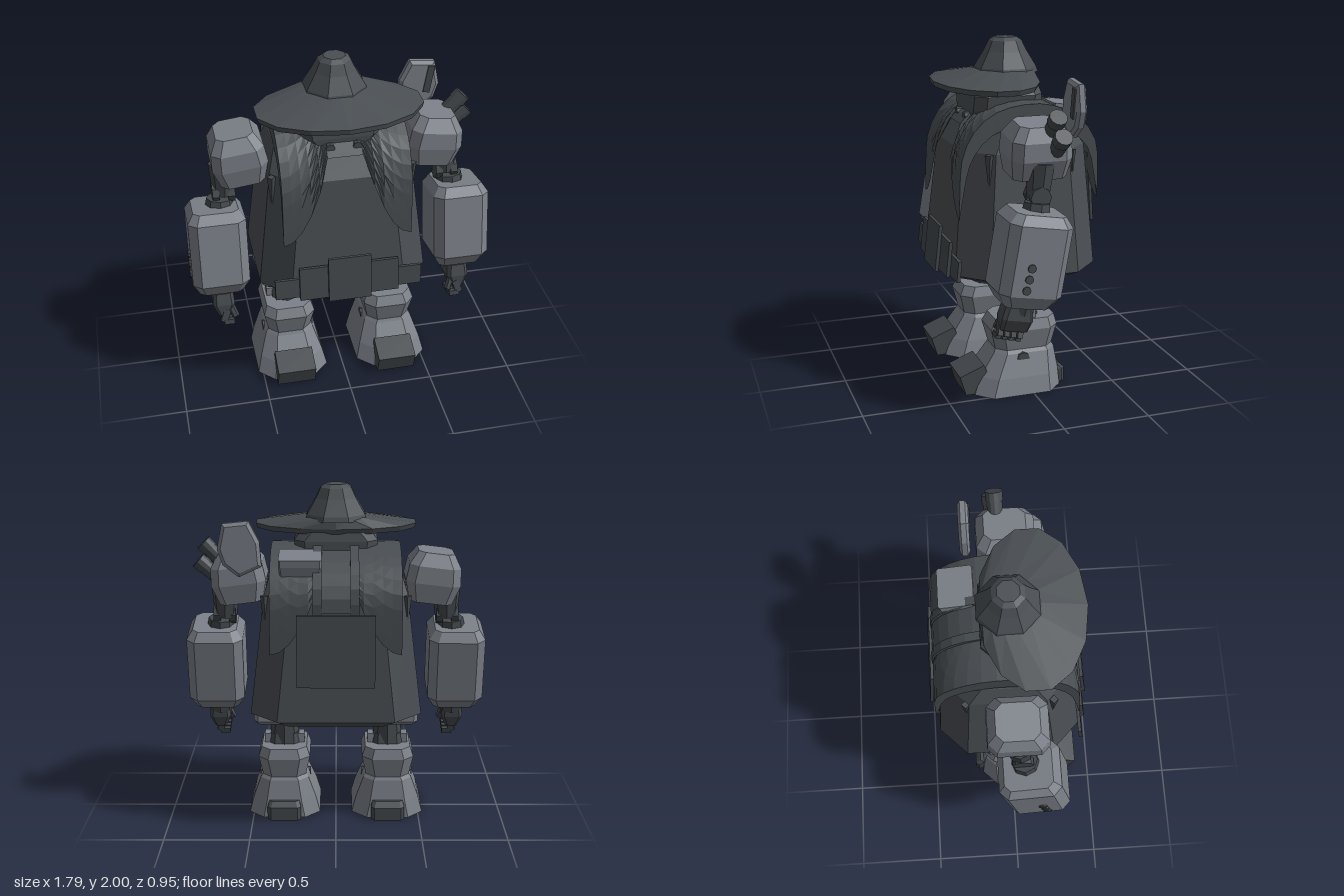
import * as THREE from 'three';

const mat = (name, color, side = THREE.FrontSide) => {
  const m = new THREE.MeshStandardMaterial({ color, flatShading: true, side });
  m.name = name;
  return m;
};

export function createModel() {
  const armour = mat('lightArmour', 0x7c8189);
  const cloth = mat('darkCloth', 0x4a4f53, THREE.DoubleSide);
  const metal = mat('darkMetal', 0x44494d);
  const root = new THREE.Group();

  const add = (name, geo, material, pos = [0, 0, 0], rot = [0, 0, 0], parent = root) => {
    const m = new THREE.Mesh(geo, material);
    m.name = name;
    m.position.set(...pos);
    m.rotation.set(...rot);
    parent.add(m);
    return m;
  };

  // Skin a stack of rings (bottom to top) and cap both ends
  const loft = (rings) => {
    const v = [], n = rings[0].length;
    for (let k = 0; k < rings.length - 1; k++)
      for (let i = 0; i < n; i++) {
        const j = (i + 1) % n, a = rings[k], b = rings[k + 1];
        v.push(...a[i], ...b[i], ...a[j], ...a[j], ...b[i], ...b[j]);
      }
    const lo = rings[0], hi = rings[rings.length - 1];
    for (let i = 1; i < n - 1; i++) v.push(...lo[0], ...lo[i], ...lo[i + 1], ...hi[0], ...hi[i + 1], ...hi[i]);
    const g = new THREE.BufferGeometry();
    g.setAttribute('position', new THREE.Float32BufferAttribute(v, 3));
    g.computeVertexNormals();
    return g;
  };
  // Box outline with cut corners: height, half width, front z, back z, corner cut
  const oct = ([y, hx, zf, zb, c]) => [
    [hx, y, zb + c], [hx, y, zf - c], [hx - c, y, zf], [c - hx, y, zf],
    [-hx, y, zf - c], [-hx, y, zb + c], [c - hx, y, zb], [hx - c, y, zb]];
  const octLoft = (rows) => loft(rows.map(oct));
  const chamferBox = (w, h, d, c) => octLoft([
    [-h / 2, w / 2 - c, d / 2 - c, c - d / 2, c * 0.6], [c - h / 2, w / 2, d / 2, -d / 2, c],
    [h / 2 - c, w / 2, d / 2, -d / 2, c], [h / 2, w / 2 - c, d / 2 - c, c - d / 2, c * 0.6]]);
  const ellipse = (n) => ([y, rx, rz, cz]) => Array.from({ length: n }, (_, i) => {
    const a = ((i + 0.5) / n) * Math.PI * 2;
    return [rx * Math.cos(a), y, cz + rz * Math.sin(a)];
  });
  const rod = (name, a, b, r0, r1, material, sides = 8, parent = root) => {
    const p = new THREE.Vector3(...a), d = new THREE.Vector3(...b).sub(p);
    const m = add(name, new THREE.CylinderGeometry(r1, r0, d.length(), sides), material, [0, 0, 0], [0, 0, 0], parent);
    m.position.copy(p).addScaledVector(d, 0.5);
    m.quaternion.setFromUnitVectors(new THREE.Vector3(0, 1, 0), d.normalize());
  };

  // Wide hat
  add('hatBrim', loft([[1.73, 0.47, 0.29, 0.135], [1.76, 0.48, 0.3, 0.13], [1.82, 0.17, 0.17, 0.01]].map(ellipse(14))), cloth);
  add('hatCrown', loft([[1.8, 0.19, 0.19, 0], [1.83, 0.18, 0.18, 0], [1.92, 0.125, 0.125, 0],
    [1.98, 0.095, 0.095, 0], [2, 0.065, 0.065, 0]].map(ellipse(8))), cloth);

  // Head and eyes
  add('head', octLoft([[1.53, 0.16, 0.24, -0.16, 0.05], [1.61, 0.23, 0.245, -0.16, 0.06],
    [1.69, 0.24, 0.24, -0.16, 0.06], [1.74, 0.2, 0.22, -0.15, 0.06]]), cloth);
  for (const s of [-1, 1])
    add('eye', new THREE.CylinderGeometry(0.026, 0.026, 0.08, 8), metal, [s * 0.077, 1.565, 0.235], [Math.PI / 2, 0, 0]);

  // Robed body
  add('body', octLoft([[0.66, 0.41, 0.36, -0.39, 0.14], [0.7, 0.495, 0.41, -0.435, 0.16],
    [1.4, 0.41, 0.34, -0.39, 0.15], [1.53, 0.37, 0.24, -0.29, 0.12], [1.6, 0.3, 0.14, -0.18, 0.08]]), cloth);
  // Narrow vents on the cut corners of the robe
  for (const s of [-1, 1])
    for (const z of [-0.26, 0.23])
      add('sideVent', new THREE.ConeGeometry(0.025, 0.22, 4), metal, [s * 0.405, 1.29, z], [Math.PI, 0, 0]);

  // Cape draped from front tips over the shoulders to back tips
  const profile = new THREE.CatmullRomCurve3([[0.392, 1.03], [0.387, 1.22], [0.372, 1.38], [0.3, 1.53],
    [0.19, 1.62], [0.05, 1.66], [-0.12, 1.66], [-0.26, 1.61], [-0.37, 1.52], [-0.425, 1.42],
    [-0.435, 1.28], [-0.435, 1.1]].map(([z, y]) => new THREE.Vector3(0, y, z)));
  const drape = (rows, n = 16) => {
    const v = [], idx = [];
    rows.forEach(([x, t0, t1, inset], r) => {
      for (let i = 0; i <= n; i++) {
        const p = profile.getPointAt(t0 + ((t1 - t0) * i) / n);
        const k = 1 - inset * Math.sin((Math.PI * i) / n);
        v.push(x, 1.1 + (p.y - 1.1) * k, p.z * k);
        const a = r * (n + 1) + i;
        if (r < rows.length - 1 && i < n) idx.push(a, a + 1, a + n + 1, a + 1, a + n + 2, a + n + 1);
      }
    });
    const g = new THREE.BufferGeometry();
    g.setAttribute('position', new THREE.Float32BufferAttribute(v, 3));
    g.setIndex(idx);
    const flat = g.toNonIndexed();
    flat.computeVertexNormals();
    return flat;
  };
  for (const s of [-1, 1]) {
    const rows = [0, 0.2, 0.4, 0.6, 0.8, 1].map((u) => [
      s * (0.1 + 0.27 * u), 0.3 * (1 - u) ** 2, 1 - 0.22 * (1 - u) ** 2, 0]);
    rows.push([s * 0.37, 0, 1, 0.2]);
    add('cape', drape(rows, 20), cloth);
    add('backStrap', drape([[s * 0.08, 0.5, 0.88, 0], [s * 0.08, 0.5, 0.88, -0.04],
      [s * 0.13, 0.5, 0.88, -0.04], [s * 0.13, 0.5, 0.88, 0]], 8), cloth);
  }
  add('capeBack', drape([[-0.1, 0.48, 0.86, 0.02], [0.1, 0.48, 0.86, 0.02]], 8), cloth);
  add('capeCollar', drape([[-0.1, 0.3, 0.5, 0], [0.1, 0.3, 0.5, 0]], 6), cloth);

  // Hanging plates on the front and back
  for (const [w, y0, y1, z] of [[0.86, 0.69, 0.81, 0.413], [0.58, 0.68, 0.885, 0.43], [0.25, 0.665, 0.94, 0.447]])
    add('beltPlate', new THREE.BoxGeometry(w, y1 - y0, 0.02), metal, [0, (y0 + y1) / 2, z], [-0.11, 0, 0]);
  add('backPlate', new THREE.BoxGeometry(0.44, 0.41, 0.018), metal, [0, 1.125, -0.455], [0.07, 0, 0]);
  add('backBox', octLoft([[-0.1, 0.1, 0.1, -0.08, 0.01], [0.04, 0.12, 0.1, -0.1, 0.01], [0.08, 0.12, 0.1, -0.1, 0.01]]),
    armour, [0.2, 1.56, -0.27], [-0.15, 0, 0]);

  // Shoulder fin with its dark slot
  const fin = new THREE.Shape([[0.42, 1.56], [0.55, 1.5], [0.64, 1.57], [0.67, 1.66], [0.64, 1.805],
    [0.49, 1.82], [0.43, 1.7]].map(([x, y]) => new THREE.Vector2(x, y)));
  add('shoulderFin', new THREE.ExtrudeGeometry(fin, { depth: 0.03, bevelEnabled: true, bevelThickness: 0.015,
    bevelSize: 0.02, bevelOffset: -0.02, bevelSegments: 1 }), armour, [0, 0, -0.23]);
  add('finSlot', new THREE.BoxGeometry(0.04, 0.17, 0.009), metal, [0.605, 1.7, -0.182], [0, 0, -0.17]);

  // Twin shoulder guns
  for (const [a, b] of [[[0.62, 1.51, -0.03], [0.765, 1.66, -0.036]], [[0.64, 1.42, -0.05], [0.795, 1.56, -0.056]]]) {
    rod('gunBarrel', a, b, 0.045, 0.045, metal, 12);
    const at = (k) => a.map((v, i) => v + (b[i] - v) * k);
    rod('gunMuzzle', at(0.75), at(1.02), 0.05, 0.05, metal, 12);
  }

  for (const s of [-1, 1]) {
    // Arm
    const arm = new THREE.Group();
    arm.name = s > 0 ? 'leftArm' : 'rightArm';
    root.add(arm);
    add('shoulder', octLoft([[-0.145, 0.125, 0.155, -0.15, 0.04], [-0.03, 0.16, 0.175, -0.17, 0.05],
      [0.07, 0.15, 0.17, -0.165, 0.05], [0.145, 0.105, 0.12, -0.12, 0.04]]), armour,
      [s * 0.567, 1.465, 0.015], [0, 0, -s * 0.12], arm);
    rod('upperArm', [s * 0.655, 1.21, 0.035], [s * 0.65, 1.4, 0.02], 0.065, 0.085, metal, 8, arm);
    for (const o of [-0.045, 0.045])
      add('elbowJoint', new THREE.CylinderGeometry(0.06, 0.06, 0.04, 8), metal, [s * 0.66 + o, 1.22, 0.04], [0, 0, Math.PI / 2], arm);
    rod('elbowCollar', [s * 0.69, 1.12, 0.06], [s * 0.685, 1.19, 0.05], 0.085, 0.075, metal, 8, arm);
    add('forearm', octLoft([[-0.26, 0.125, 0.125, -0.125, 0.03], [-0.185, 0.166, 0.18, -0.18, 0.05],
      [0.2, 0.166, 0.18, -0.18, 0.05], [0.255, 0.13, 0.14, -0.14, 0.035]]), armour, [s * 0.72, 0.905, 0.11], [-0.17, 0, 0], arm);
    for (const [y, z] of [[0.89, 0.15], [0.83, 0.165], [0.77, 0.18]])
      add('armStud', new THREE.CylinderGeometry(0.024, 0.024, 0.03, 8), metal, [s * 0.88, y, z], [0, 0, Math.PI / 2], arm);
    // Hand
    rod('wrist', [s * 0.71, 0.59, 0.155], [s * 0.715, 0.69, 0.135], 0.075, 0.085, metal, 8, arm);
    add('palm', octLoft([[-0.07, 0.035, 0.08, -0.08, 0.015], [0, 0.065, 0.09, -0.09, 0.02], [0.07, 0.06, 0.08, -0.08, 0.02]]),
      metal, [s * 0.715, 0.56, 0.185], [-0.2, 0, 0], arm);
    for (let i = 0; i < 4; i++) {
      const z = 0.27 - i * 0.038, y = 0.485 - 0.01 * i;
      add('finger', new THREE.BoxGeometry(0.04, 0.08, 0.03), metal, [s * 0.71, y + 0.02, z], [-0.2, 0, s * 0.35], arm);
      add('fingertip', new THREE.BoxGeometry(0.06, 0.03, 0.03), metal, [s * 0.69, y - 0.02, z + 0.01], [-0.2, 0, 0], arm);
    }
    rod('thumb', [s * 0.68, 0.57, 0.24], [s * 0.65, 0.49, 0.27], 0.022, 0.022, metal, 6, arm);

    // Leg
    const leg = new THREE.Group();
    leg.name = s > 0 ? 'leftLeg' : 'rightLeg';
    leg.position.x = s * 0.312;
    root.add(leg);
    add('hipBlock', chamferBox(0.35, 0.16, 0.13, 0.025), armour, [0, 0.66, -0.1], [0, 0, 0], leg);
    add('frontHipBlock', chamferBox(0.32, 0.12, 0.12, 0.025), armour, [0, 0.65, 0.13], [0, 0, 0], leg);
    rod('thigh', [0, 0.4, 0.02], [0, 0.7, -0.02], 0.1, 0.055, metal, 8, leg);
    add('knee', octLoft([[0.4, 0.09, 0.1, -0.08, 0.03], [0.49, 0.085, 0.06, -0.06, 0.03]]), metal, [0, 0, 0], [0, 0, 0], leg);
    for (const o of [-1, 1])
      add('anklePad', new THREE.BoxGeometry(0.04, 0.09, 0.08), armour, [o * 0.1, 0.44, 0], [0, 0, 0], leg);
    add('boot', octLoft([[0, 0.215, 0.33, -0.19, 0.09], [0.1, 0.19, 0.29, -0.185, 0.085], [0.23, 0.145, 0.2, -0.165, 0.06],
      [0.25, 0.13, 0.19, -0.155, 0.055], [0.37, 0.155, 0.22, -0.18, 0.06], [0.43, 0.135, 0.19, -0.165, 0.055]]),
      armour, [0, 0, 0], [0, 0, 0], leg);
    const toe = new THREE.Shape([[0.2, 0.001], [0.38, 0.001], [0.415, 0.115], [0.27, 0.172]].map(([z, y]) => new THREE.Vector2(-z, y)));
    add('toeCap', new THREE.ExtrudeGeometry(toe, { depth: 0.23, bevelEnabled: false }), metal, [-0.115, 0, 0], [0, Math.PI / 2, 0], leg);
    add('heel', octLoft([[0.001, 0.1, -0.1, -0.235, 0.02], [0.08, 0.1, -0.1, -0.235, 0.02], [0.11, 0.09, -0.1, -0.205, 0.02]]),
      metal, [0, 0, 0], [0, 0, 0], leg);
    for (const o of [-1, 1])
      add('ankleStud', new THREE.CylinderGeometry(0.038, 0.038, 0.03, 8), metal, [o * 0.142, 0.2, 0.045], [0, 0, Math.PI / 2], leg);
  }
  return root;
}
